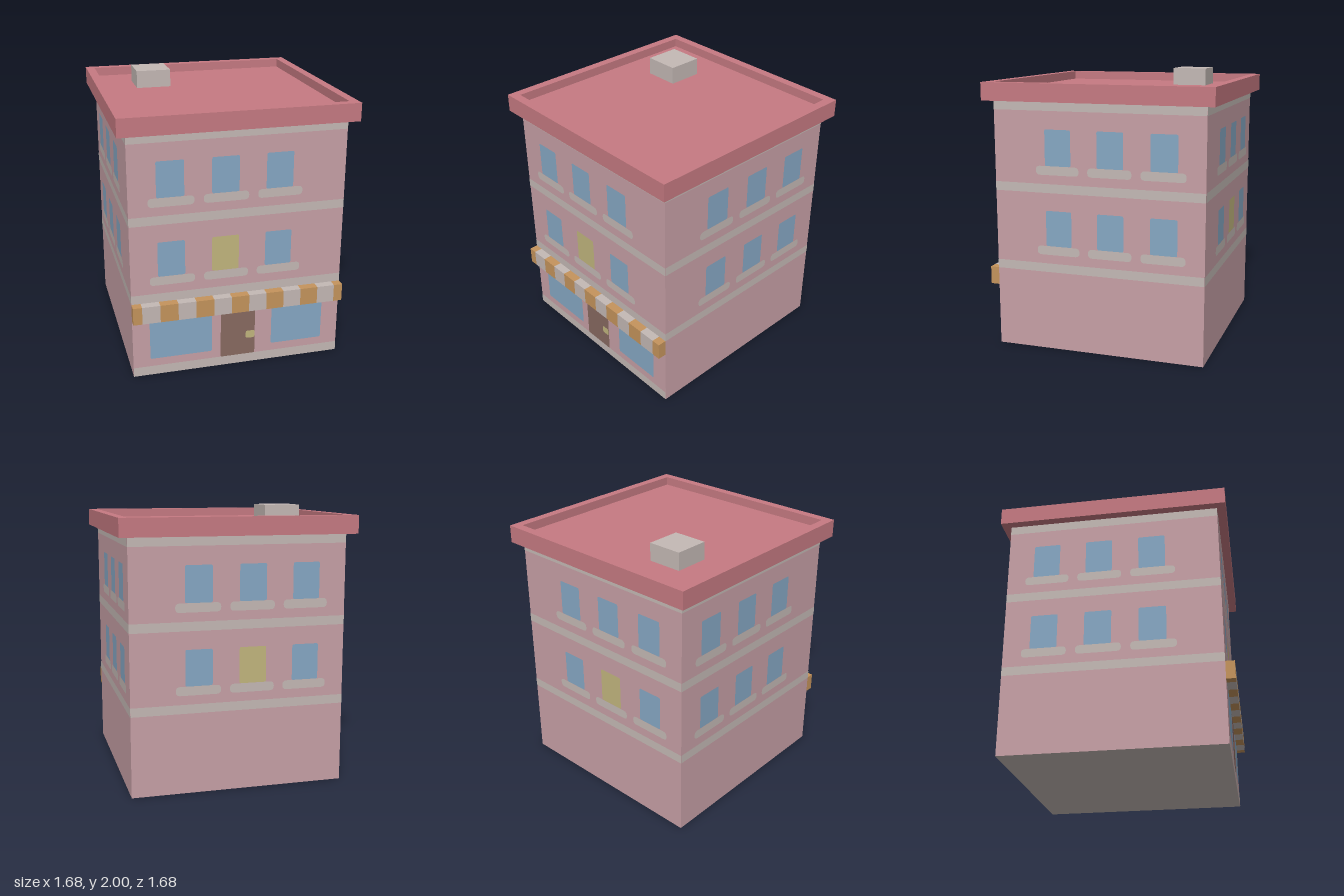
import * as THREE from 'three';

const mat = (name, color) => {
  const m = new THREE.MeshStandardMaterial({ color });
  m.name = name;
  return m;
};

export function createModel() {
  const wall = mat('pink wall', 0xc7a0a6);
  const stone = mat('pale stone', 0xc4b9b5);
  const roofRed = mat('red roof', 0xc67a82);
  const glass = mat('blue glass', 0x86a8c4);
  const lamp = mat('yellow light', 0xc2b67e);
  const orange = mat('orange stripe', 0xc5945c);
  const wood = mat('brown door', 0x886a61);

  const U = 2 / 31;          // building module
  const H = 12 * U;          // half width of the walls
  const R = 13 * U;          // half width of the roof
  const model = new THREE.Group();
  model.name = 'cornerShopBuilding';

  const box = (name, parent, m, x0, x1, y0, y1, z0, z1) => {
    const mesh = new THREE.Mesh(new THREE.BoxGeometry(x1 - x0, y1 - y0, z1 - z0), m);
    mesh.position.set((x0 + x1) / 2, (y0 + y1) / 2, (z0 + z1) / 2);
    mesh.name = name;
    parent.add(mesh);
    return mesh;
  };

  // Flat rounded rectangle laid on a facade
  const plate = (name, parent, m, x0, x1, y0, y1, r, lift) => {
    const s = new THREE.Shape();
    s.moveTo(x0 + r, y0);
    s.lineTo(x1 - r, y0);
    s.quadraticCurveTo(x1, y0, x1, y0 + r);
    s.lineTo(x1, y1 - r);
    s.quadraticCurveTo(x1, y1, x1 - r, y1);
    s.lineTo(x0 + r, y1);
    s.quadraticCurveTo(x0, y1, x0, y1 - r);
    s.lineTo(x0, y0 + r);
    s.quadraticCurveTo(x0, y0, x0 + r, y0);
    const mesh = new THREE.Mesh(new THREE.ShapeGeometry(s, 4), m);
    mesh.position.z = H + lift;
    mesh.name = name;
    parent.add(mesh);
  };

  // Walls, with a stone underside
  box('walls', model, [wall, wall, wall, stone, wall, wall], -H, H, 0, 28 * U, -H, H);

  // Four facades: bands, windows and sills
  const sides = [
    { name: 'frontFacade', turn: 0, flip: 1, litWindow: true },
    { name: 'backFacade', turn: Math.PI, flip: -1, litWindow: true },
    { name: 'rightFacade', turn: Math.PI / 2, flip: -1, litWindow: false },
    { name: 'leftFacade', turn: -Math.PI / 2, flip: 1, litWindow: false },
  ];
  const facades = sides.map(({ name, turn, flip, litWindow }) => {
    const g = new THREE.Group();
    g.name = name;
    g.rotation.y = turn;
    model.add(g);
    for (const y of [9, 18, 27]) {
      plate('stoneBand', g, stone, -H, H, y * U, (y + 1) * U, 0.0005, 0.002);
    }
    for (const floor of [0, 1]) {
      const y = (12 + 9 * floor) * U;
      for (let i = 0; i < 3; i++) {
        const c = flip * (-7.5 + 6 * i) * U;
        const lit = litWindow && floor === 0 && i === 1;
        plate('window', g, lit ? lamp : glass, c - 1.5 * U, c + 1.5 * U, y, y + 4 * U, 0.012, 0.003);
        const s = c + flip * 0.005;
        plate('windowSill', g, stone, s - 2.5 * U, s + 2.5 * U, y - U, y, 0.03, 0.004);
      }
    }
    return g;
  });

  // Shop front
  const front = facades[0];
  plate('plinthBand', front, stone, -H, H, 0, 0.07, 0.0005, 0.002);
  plate('shopWindow', front, glass, -0.65, -0.195, 0.13, 0.47, 0.012, 0.003);
  plate('shopWindow', front, glass, 0.255, 0.645, 0.13, 0.47, 0.012, 0.003);
  plate('door', front, wood, -2 * U, 2 * U, 0.07, 0.47, 0.008, 0.003);
  plate('doorHandle', front, lamp, 0.06, 0.127, 0.2, 0.26, 0.016, 0.005);

  // Striped awning: half stripes at the two ends
  const awning = new THREE.Group();
  awning.name = 'awning';
  model.add(awning);
  for (let i = 0; i <= 12; i++) {
    const x = (-12 + 2 * i) * U;
    box('awningStripe', awning, i % 2 ? stone : orange,
      Math.max(x - U, -H), Math.min(x + U, H), 7 * U, 9 * U, H, R);
  }

  // Roof rim around a sunken deck
  const square = (target, h) => {
    target.moveTo(-h, -h);
    target.lineTo(h, -h);
    target.lineTo(h, h);
    target.lineTo(-h, h);
    target.closePath();
    return target;
  };
  const rimShape = square(new THREE.Shape(), R);
  rimShape.holes.push(square(new THREE.Path(), H));
  const rim = new THREE.Mesh(
    new THREE.ExtrudeGeometry(rimShape, { depth: 2 * U, bevelEnabled: false }), roofRed);
  rim.rotation.x = -Math.PI / 2;
  rim.position.y = 28 * U;
  rim.name = 'roofRim';
  model.add(rim);
  box('roofDeck', model, roofRed, -H, H, 28 * U, 29 * U, -H, H);

  // Roof vent
  box('roofVent', model, stone, -8 * U, -4 * U, 29 * U, 31 * U, -8 * U, -4 * U);

  return model;
}
